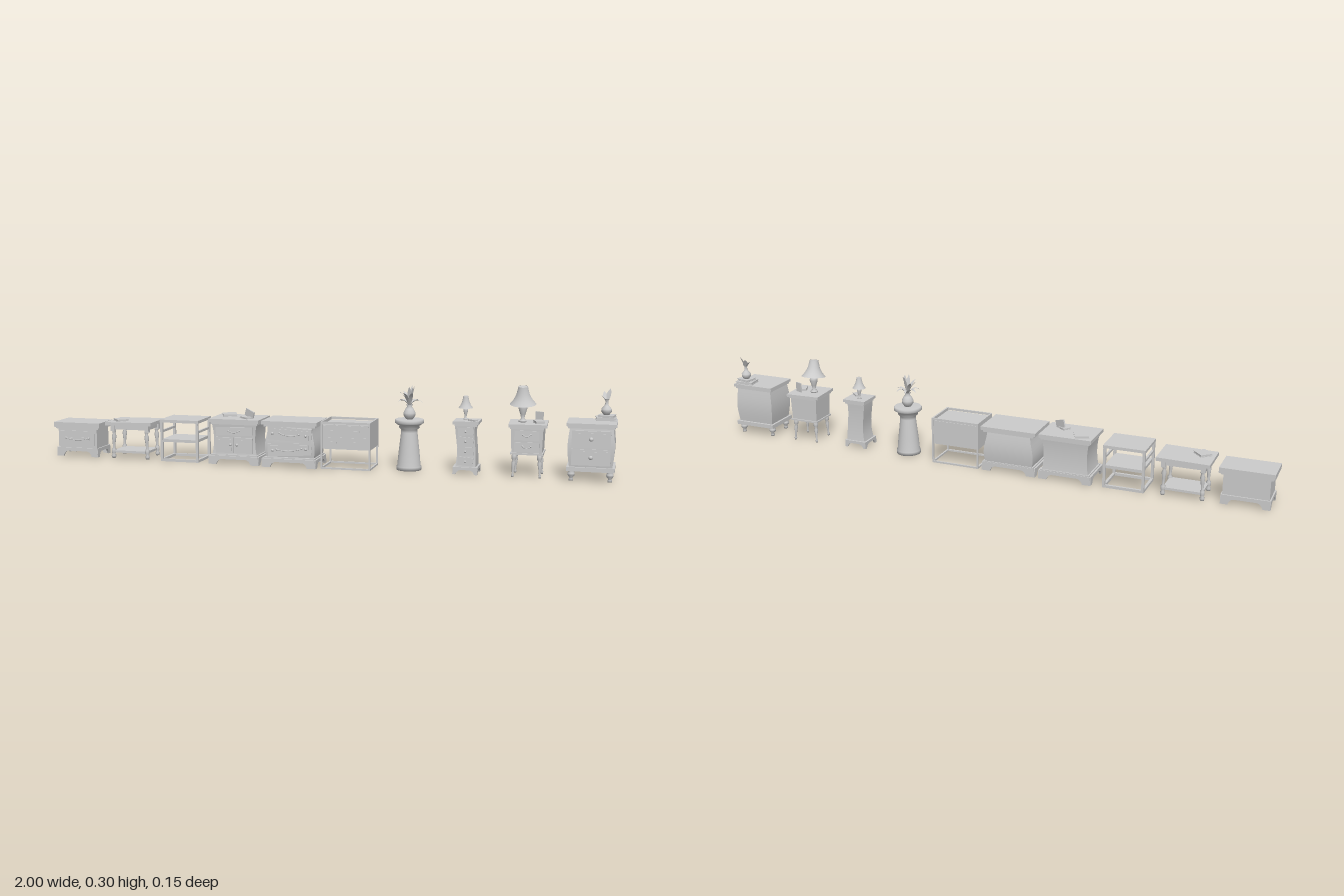
import * as THREE from 'three';

const mat = new THREE.MeshStandardMaterial({ color: 0xcccccc, side: THREE.DoubleSide });

function add(parent, name, geo, x = 0, y = 0, z = 0, rx = 0, ry = 0, rz = 0) {
  const m = new THREE.Mesh(geo, mat);
  m.name = name;
  m.position.set(x, y, z);
  m.rotation.set(rx, ry, rz);
  parent.add(m);
  return m;
}
// box standing on height y
const box = (p, name, w, h, d, x, y, z, ry = 0, rz = 0) =>
  add(p, name, new THREE.BoxGeometry(w, h, d), x, y + h / 2, z, 0, ry, rz);
// turned part from [radius, height] pairs
const lathe = (p, name, pts, x, y, z, seg = 16) =>
  add(p, name, new THREE.LatheGeometry(pts.map(a => new THREE.Vector2(a[0], a[1])), seg), x, y, z);
// box whose width and depth follow a rule along its height (t = 0 bottom, 1 top)
function shaped(p, name, w, h, d, x, y, z, rule) {
  const g = new THREE.BoxGeometry(w, h, d, 1, 14, 1), a = g.attributes.position;
  for (let i = 0; i < a.count; i++) {
    const [sx, sz, dx = 0] = rule(a.getY(i) / h + 0.5);
    a.setX(i, a.getX(i) * sx + dx);
    a.setZ(i, a.getZ(i) * sz);
  }
  g.computeVertexNormals();
  return add(p, name, g, x, y + h / 2, z);
}
// the four corners of a rectangle
const corners = (w, d, z, fn) => [-1, 1].forEach(sx => [-1, 1].forEach(sz => fn(sx * w / 2, z + sz * d / 2, sx, sz)));
// apron board with an arched cut-out that leaves two bracket feet
function bracket(p, name, w, h, t, x, z, ry) {
  const k = w / 2, f = k * 0.62, s = new THREE.Shape();
  s.moveTo(-k, 0); s.lineTo(-f - 0.006, 0);
  s.quadraticCurveTo(-f, h * 0.6, -f + 0.014, h * 0.62);
  s.lineTo(f - 0.014, h * 0.62);
  s.quadraticCurveTo(f, h * 0.6, f + 0.006, 0);
  s.lineTo(k, 0); s.lineTo(k * 0.96, h); s.lineTo(-k * 0.96, h); s.closePath();
  const g = new THREE.ExtrudeGeometry(s, { depth: t, bevelEnabled: false, curveSegments: 6 });
  g.translate(0, 0, -t / 2);
  return add(p, name, g, x, 0, z, 0, ry);
}
function bracketBase(p, w, d, h, z) {
  for (const s of [-1, 1]) {
    bracket(p, 'bracketFeet', w, h, 0.007, 0, z + s * (d / 2 - 0.0035), 0);
    bracket(p, 'sideBracketFeet', d, h, 0.007, s * (w / 2 - 0.0035), z, Math.PI / 2);
  }
}
// drooping pull with two mounts
function pull(p, w, x, y, z, rz = 0) {
  const c = new THREE.QuadraticBezierCurve3(new THREE.Vector3(-w / 2, 0, 0),
    new THREE.Vector3(0, -0.012, 0.01), new THREE.Vector3(w / 2, 0, 0));
  const h = add(p, 'pull', new THREE.TubeGeometry(c, 10, 0.0018, 6), x, y, z, 0, 0, rz);
  for (const s of [-1, 1]) add(h, 'pullMount', new THREE.SphereGeometry(0.0035, 8, 6), s * w / 2);
}
const knob = (p, x, y, z, r = 0.005) => add(p, 'knob', new THREE.SphereGeometry(r, 10, 8), x, y, z);
function book(p, x, y, z, ry, w = 0.04, d = 0.05, h = 0.008) {
  box(p, 'bookPages', w * 0.94, h * 0.6, d * 0.94, x, y + h * 0.2, z, ry);
  for (const k of [0, 0.8]) box(p, 'bookCover', w, h * 0.2, d, x, y + h * k, z, ry);
}
// table lamp of height h and shade radius r
function lamp(p, x, y, z, h, r, tilt) {
  lathe(p, 'lampBase', [[0, 0], [0.3, 0], [0.3, 0.04], [0.12, 0.1], [0.2, 0.22], [0.34, 0.38], [0.3, 0.46], [0.08, 0.55], [0.06, 0.8], [0, 0.8]]
    .map(a => [a[0] * r, a[1] * h]), x, y, z);
  const s = lathe(p, 'lampShade', [[1, 0], [0.72, 0.12], [0.5, 0.28], [0.38, 0.46], [0.36, 0.5]].map(a => [a[0] * r, a[1] * h]), x, y + h * 0.5, z, 20);
  s.rotation.x = tilt;
  add(s, 'shadeCap', new THREE.CylinderGeometry(r * 0.36, r * 0.36, 0.003, 20), 0, h * 0.48, 0);
}
// arched, pointed leaf
function leaf(p, x, y, z, len, rise, droop, ry, w = 0.007) {
  const g = new THREE.PlaneGeometry(1, 1, 8, 2), a = g.attributes.position;
  for (let i = 0; i < a.count; i++) {
    const t = a.getX(i) + 0.5, v = a.getY(i) * 2;
    const half = w * Math.sin(Math.PI * (0.12 + 0.88 * t));
    a.setXYZ(i, t * len, rise * t - droop * t * t + Math.abs(v) * half * 0.3, v * half);
  }
  g.computeVertexNormals();
  add(p, 'leaf', g, x, y, z, 0, ry);
}
// rectangular sled frames under both ends, joined by floor rails
function sled(p, w, d, h, z, t) {
  corners(w - t, d - t, z, (x, zz) => box(p, 'framePost', t, h, t, x, 0, zz));
  for (const s of [-1, 1]) {
    box(p, 'floorRail', t, t, d, s * (w - t) / 2, 0, z);
    box(p, 'crossRail', w, t, t, 0, 0, z + s * (d - t) / 2);
  }
}

const pieces = {
  lowChest(p) {
    box(p, 'top', 0.18, 0.018, 0.115, 0, 0.107, -0.003);
    box(p, 'topMoulding', 0.168, 0.006, 0.105, 0, 0.101, -0.003);
    box(p, 'body', 0.152, 0.082, 0.096, 0, 0.02, -0.003);
    bracketBase(p, 0.162, 0.106, 0.032, -0.003);
    box(p, 'drawerFront', 0.136, 0.052, 0.005, 0, 0.042, 0.046);
    pull(p, 0.09, 0, 0.068, 0.05);
    box(p, 'handlePlate', 0.1, 0.008, 0.003, 0, 0.062, 0.049);
  },
  sideTable(p) {
    box(p, 'top', 0.178, 0.012, 0.135, 0, 0.122, -0.008, 0, 0.015);
    for (const s of [-1, 1]) {
      box(p, 'apron', 0.136, 0.018, 0.006, 0, 0.105, -0.008 + s * 0.046);
      box(p, 'sideApron', 0.006, 0.018, 0.092, s * 0.066, 0.105, -0.008);
    }
    corners(0.132, 0.092, -0.008, (x, z, sx) => {
      box(p, 'legBlock', 0.015, 0.026, 0.015, x, 0.098, z);
      const leg = lathe(p, 'turnedLeg', [[0, 0], [0.006, 0], [0.009, 0.008], [0.005, 0.015], [0.008, 0.02], [0.008, 0.032], [0.004, 0.038], [0.006, 0.06],
        [0.0085, 0.08], [0.005, 0.09], [0.007, 0.096], [0.007, 0.1]], x, 0, z, 12);
      leg.rotation.z = sx * 0.03;
    });
    box(p, 'lowerShelf', 0.132, 0.008, 0.1, 0, 0.02, -0.008);
    book(p, -0.045, 0.133, 0.015, 0.75, 0.042, 0.05);
  },
  openShelf(p) {
    box(p, 'top', 0.145, 0.01, 0.13, 0, 0.14, -0.005);
    box(p, 'shelf', 0.13, 0.01, 0.126, 0, 0.07, -0.005);
    for (const s of [-1, 1]) box(p, 'sideRail', 0.007, 0.008, 0.12, s * 0.066, 0.104, -0.005);
    sled(p, 0.143, 0.128, 0.142, -0.005, 0.009);
  },
  flaredDresser(p) {
    const waist = t => [0.93 + 0.09 * (2 * t - 1) ** 2 + 0.03 * (1 - t), 0.95 + 0.06 * (2 * t - 1) ** 2];
    box(p, 'top', 0.185, 0.012, 0.138, 0, 0.148, -0.009);
    box(p, 'topMoulding', 0.172, 0.008, 0.128, 0, 0.141, -0.009);
    shaped(p, 'body', 0.162, 0.122, 0.12, 0, 0.02, -0.01, waist);
    bracketBase(p, 0.187, 0.138, 0.03, -0.006);
    box(p, 'baseMoulding', 0.174, 0.006, 0.13, 0, 0.028, -0.008);
    box(p, 'drawerFront', 0.135, 0.03, 0.01, 0, 0.102, 0.048, 0, 0.03);
    pull(p, 0.04, 0, 0.119, 0.054);
    for (const s of [-1, 1]) {
      box(p, 'door', 0.066, 0.055, 0.01, s * 0.035, 0.04, 0.049);
      box(p, 'doorPanel', 0.05, 0.04, 0.005, s * 0.035, 0.0475, 0.053);
      knob(p, s * 0.012, 0.07, 0.057);
    }
    book(p, -0.045, 0.16, -0.035, 0.4, 0.05, 0.06, 0.008);
    book(p, 0.035, 0.16, 0.015, 0.9, 0.03, 0.045, 0.006);
    box(p, 'leaningFrame', 0.042, 0.026, 0.005, 0.045, 0.163, 0.01, -0.5, -0.3);
  },
  curvedDresser(p) {
    box(p, 'top', 0.2, 0.012, 0.142, 0, 0.148, -0.008);
    box(p, 'topMoulding', 0.186, 0.008, 0.132, 0, 0.14, -0.008);
    shaped(p, 'body', 0.175, 0.12, 0.122, 0, 0.022, -0.01, t => [0.96 + 0.07 * Math.sin(Math.PI * t * 1.4), 0.96 + 0.1 * Math.sin(Math.PI * t)]);
    bracketBase(p, 0.196, 0.145, 0.03, -0.002);
    box(p, 'baseMoulding', 0.184, 0.007, 0.137, 0, 0.027, -0.005);
    [[0.092, 0.046, 0.05], [0.04, 0.044, 0.05]].forEach(([y, h, z], i) => {
      const tilt = i ? 0.06 : -0.05;
      box(p, 'drawerFront', 0.158, h, 0.014, 0, y, z, 0, tilt);
      box(p, 'drawerPanel', 0.142, h - 0.014, 0.006, 0, y + 0.007, z + 0.007, 0, tilt);
      pull(p, i ? 0.09 : 0.07, 0, y + h * 0.55, z + 0.011, tilt);
      for (const s of [-1, 1]) knob(p, s * 0.06, y + h * 0.5 + s * 0.06 * tilt, z + 0.012);
    });
  },
  framedCabinet(p) {
    const w = 0.175, d = 0.13, z = -0.01;
    box(p, 'body', w - 0.006, 0.085, d - 0.006, 0, 0.07, z);
    for (const s of [-1, 1]) {
      box(p, 'sidePanel', 0.006, 0.095, d, s * (w / 2 - 0.003), 0.07, z);
      box(p, 'topRail', w, 0.008, 0.005, 0, 0.157, z + s * (d / 2 - 0.0025));
      box(p, 'drawerFront', 0.16, 0.038, 0.006, 0, s > 0 ? 0.114 : 0.073, z + d / 2 - 0.004);
      for (const k of [-1, 1]) box(p, 'handle', 0.022, 0.004, 0.006, k * 0.04, s > 0 ? 0.132 : 0.092, z + d / 2);
    }
    sled(p, w, d, 0.072, z, 0.006);
  },
  plantPedestal(p) {
    lathe(p, 'pedestal', [[0, 0], [0.043, 0], [0.043, 0.012], [0.04, 0.016], [0.036, 0.06], [0.028, 0.13], [0.028, 0.14], [0.036, 0.146], [0.034, 0.152],
      [0.046, 0.16], [0.05, 0.163], [0.05, 0.172], [0.047, 0.175], [0, 0.175]], 0, 0, -0.015, 28);
    lathe(p, 'vase', [[0, 0], [0.012, 0], [0.02, 0.012], [0.021, 0.022], [0.014, 0.036], [0.008, 0.043], [0.012, 0.05], [0.009, 0.05], [0.006, 0.043]], 0, 0.175, -0.015);
    for (let i = 0; i < 13; i++) {
      const k = i % 3;
      leaf(p, 0, 0.218, -0.015, [0.045, 0.036, 0.018][k], [0.07, 0.085, 0.09][k], [0.055, 0.035, 0.02][k], i * 2.4);
    }
  },
  narrowChest(p) {
    const z = -0.007;
    const waist = t => [0.88 + 0.2 * (t - 0.55) ** 2 * 2, 0.9 + 0.2 * (t - 0.55) ** 2 * 2, 0.003 * Math.sin(t * 5)];
    box(p, 'top', 0.086, 0.01, 0.086, 0, 0.17, z);
    box(p, 'topMoulding', 0.076, 0.007, 0.076, 0, 0.163, z);
    shaped(p, 'body', 0.07, 0.148, 0.07, 0, 0.018, z, waist);
    bracketBase(p, 0.084, 0.084, 0.025, z);
    for (let i = 0; i < 4; i++) {
      const y = 0.03 + i * 0.034, tilt = i % 2 ? 0.08 : -0.08;
      box(p, 'drawerFront', 0.052, 0.028, 0.01, 0, y, 0.025, 0, tilt);
      knob(p, 0, y + 0.014, 0.033, 0.004);
    }
    lamp(p, -0.008, 0.18, -0.02, 0.08, 0.024, 0.05);
    book(p, 0.022, 0.18, 0.014, 0.9, 0.018, 0.032, 0.006);
  },
  leggedNightstand(p) {
    const z = -0.01;
    box(p, 'top', 0.126, 0.01, 0.124, 0, 0.17, z, 0.05);
    box(p, 'topMoulding', 0.112, 0.007, 0.11, 0, 0.163, z);
    shaped(p, 'body', 0.106, 0.085, 0.1, 0, 0.08, z, t => [0.94 + 0.06 * t, 0.94 + 0.06 * t]);
    box(p, 'bottomMoulding', 0.108, 0.006, 0.104, 0, 0.077, z);
    for (const y of [0.086, 0.125]) {
      box(p, 'drawerFront', 0.082, 0.033, 0.008, 0, y, 0.039);
      pull(p, 0.026, 0, y + 0.02, 0.044);
    }
    corners(0.09, 0.086, z, (x, zz, sx, sz) => {
      const leg = lathe(p, 'turnedLeg', [[0, 0], [0.004, 0], [0.005, 0.006], [0.003, 0.012], [0.0045, 0.03], [0.007, 0.05], [0.004, 0.056], [0.008, 0.062],
        [0.0085, 0.072], [0.006, 0.08]], x, 0, zz, 10);
      leg.rotation.set(-sz * 0.05, 0, sx * 0.05);
    });
    lamp(p, -0.02, 0.18, -0.013, 0.12, 0.044, 0.15);
    box(p, 'photoFrame', 0.028, 0.034, 0.005, 0.034, 0.18, -0.03, -0.4);
    book(p, 0.035, 0.18, 0.0, 0.35, 0.03, 0.04, 0.008);
  },
  bulgingChest(p) {
    const z = -0.005;
    box(p, 'top', 0.16, 0.01, 0.138, 0, 0.182, z);
    box(p, 'topMoulding', 0.15, 0.008, 0.13, 0, 0.175, z);
    shaped(p, 'body', 0.14, 0.13, 0.118, 0, 0.047, z, t => [0.98 + 0.09 * Math.sin(Math.PI * t), 0.99 + 0.09 * Math.sin(Math.PI * t)]);
    box(p, 'bottomMoulding', 0.154, 0.014, 0.134, 0, 0.034, z);
    corners(0.124, 0.092, z, (x, zz) => lathe(p, 'bunFoot', [[0, 0], [0.007, 0], [0.007, 0.006], [0.005, 0.01], [0.012, 0.019], [0.012, 0.025], [0.008, 0.031],
      [0.012, 0.034]], x, 0, zz, 14));
    for (const y of [0.055, 0.115]) {
      box(p, 'drawerFront', 0.124, 0.053, 0.012, 0, y, 0.056);
      box(p, 'drawerPanel', 0.108, 0.038, 0.004, 0, y + 0.0075, 0.062);
      knob(p, 0, y + 0.027, 0.067, 0.007);
    }
    book(p, 0.042, 0.192, -0.043, 0.1, 0.066, 0.054, 0.01);
    book(p, 0.044, 0.202, -0.042, -0.2, 0.052, 0.046, 0.008);
    lathe(p, 'vase', [[0, 0], [0.01, 0], [0.017, 0.01], [0.017, 0.019], [0.008, 0.029], [0.005, 0.036], [0.005, 0.046], [0.008, 0.052]], 0.042, 0.21, -0.045);
    for (let i = 0; i < 3; i++) leaf(p, 0.042, 0.25, -0.045, 0.02, 0.05 - i * 0.01, 0.004, 1 + i * 1.1, 0.009);
  },
};

export function createModel() {
  const root = new THREE.Group();
  root.name = 'nightstandRow';
  const places = { lowChest: -0.91, sideTable: -0.705, openShelf: -0.508, flaredDresser: -0.304, curvedDresser: -0.1, framedCabinet: 0.099,
    plantPedestal: 0.308, narrowChest: 0.508, leggedNightstand: 0.712, bulgingChest: 0.92 };
  for (const [name, x] of Object.entries(places)) {
    const g = new THREE.Group();
    g.name = name;
    g.position.x = x;
    pieces[name](g);
    root.add(g);
  }
  return root;
}
